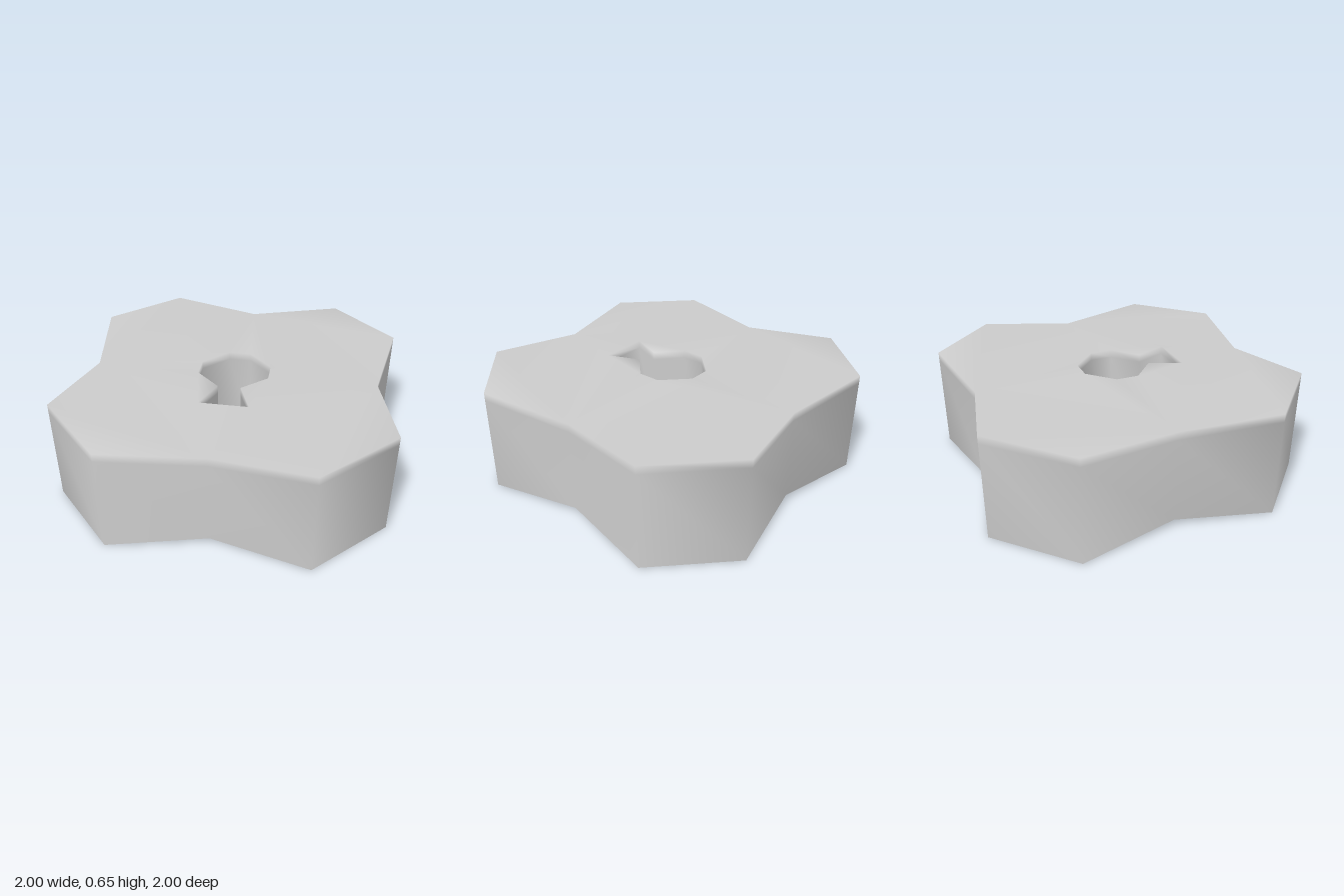
import * as THREE from 'three';

export function createModel() {
  const pos = [], idx = [];
  const vertex = (x, y, z) => pos.push(x, y, z) / 3 - 1;

  // Plan outlines as [x, z], running from +x towards +z
  const outline = [];
  for (let q = 0; q < 4; q++) {
    const c = [1, 0, -1, 0][q], s = [0, 1, 0, -1][q];
    for (const [x, z] of [[0.89, 0], [1, 0.59], [0.59, 1]]) outline.push([x * c - z * s, x * s + z * c]);
  }
  const half = [[0.15, 0.41], [0.07, 0.21], [0.22, 0.07], [0.22, -0.07], [0.07, -0.22]];
  const keyhole = [...half.map(([x, z]) => [-x, z]), ...half.slice().reverse()];

  // Ring of vertices at a height that may vary per point
  const ring = (points, height) => points.map(([x, z], i) => vertex(x, height(i), z));
  const bridge = (upper, lower) => upper.forEach((a, i) => {
    const j = (i + 1) % upper.length;
    idx.push(a, upper[j], lower[i], upper[j], lower[j], lower[i]);
  });
  // Outline points 0, 3, 6, 9 are the dips halfway along the sides
  const dip = (i) => (i % 3 === 0 ? 0.04 : 0);

  // Outer wall: thin row under the rim, then straight down
  const rim = ring(outline, (i) => 0.65 - dip(i));
  const band = ring(outline, (i) => 0.6 - dip(i));
  const foot = ring(outline, dip);
  bridge(rim, band);
  bridge(band, foot);

  // Keyhole tube, facing inwards
  const inward = keyhole.slice().reverse();
  const holeRim = ring(inward, () => 0.64);
  const holeBand = ring(inward, () => 0.59);
  const holeFoot = ring(inward, () => 0.08);
  const turn = inward.reduce((sum, [x, z], i) => {
    const [u, w] = inward[(i + 1) % inward.length];
    return sum + x * w - u * z;
  }, 0);
  for (const [a, b] of [[holeRim, holeBand], [holeBand, holeFoot]]) {
    if (turn < 0) bridge(a, b);
    else bridge(a.slice().reverse(), b.slice().reverse());
  }

  // Top: four corner flaps and a central diamond around the keyhole
  const up = (a, b, c) => {
    const p = (i, k) => pos[3 * i + k];
    const n = (p(b, 2) - p(a, 2)) * (p(c, 0) - p(a, 0)) - (p(b, 0) - p(a, 0)) * (p(c, 2) - p(a, 2));
    if (n > 0) idx.push(a, b, c);
    else idx.push(a, c, b);
  };
  for (let i = 0; i < 12; i += 3) {
    up(rim[i], rim[i + 1], rim[i + 2]);
    up(rim[i], rim[i + 2], rim[(i + 3) % 12]);
  }
  const diamond = [0, 3, 6, 9];
  const v2 = ([x, z]) => new THREE.Vector2(x, z);
  const corners = [...diamond.map((i) => rim[i]), ...holeRim];
  const faces = THREE.ShapeUtils.triangulateShape(diamond.map((i) => v2(outline[i])), [inward.map(v2)]);
  for (const [a, b, c] of faces) up(corners[a], corners[b], corners[c]);

  const geometry = new THREE.BufferGeometry();
  geometry.setAttribute('position', new THREE.Float32BufferAttribute(pos, 3));
  geometry.setIndex(idx);
  geometry.computeVertexNormals();

  const shell = new THREE.Mesh(geometry, new THREE.MeshStandardMaterial({ color: 0xcccccc, side: THREE.DoubleSide }));
  shell.name = 'keyholeShell';
  const group = new THREE.Group();
  group.name = 'keyholeTile';
  group.add(shell);
  return group;
}
